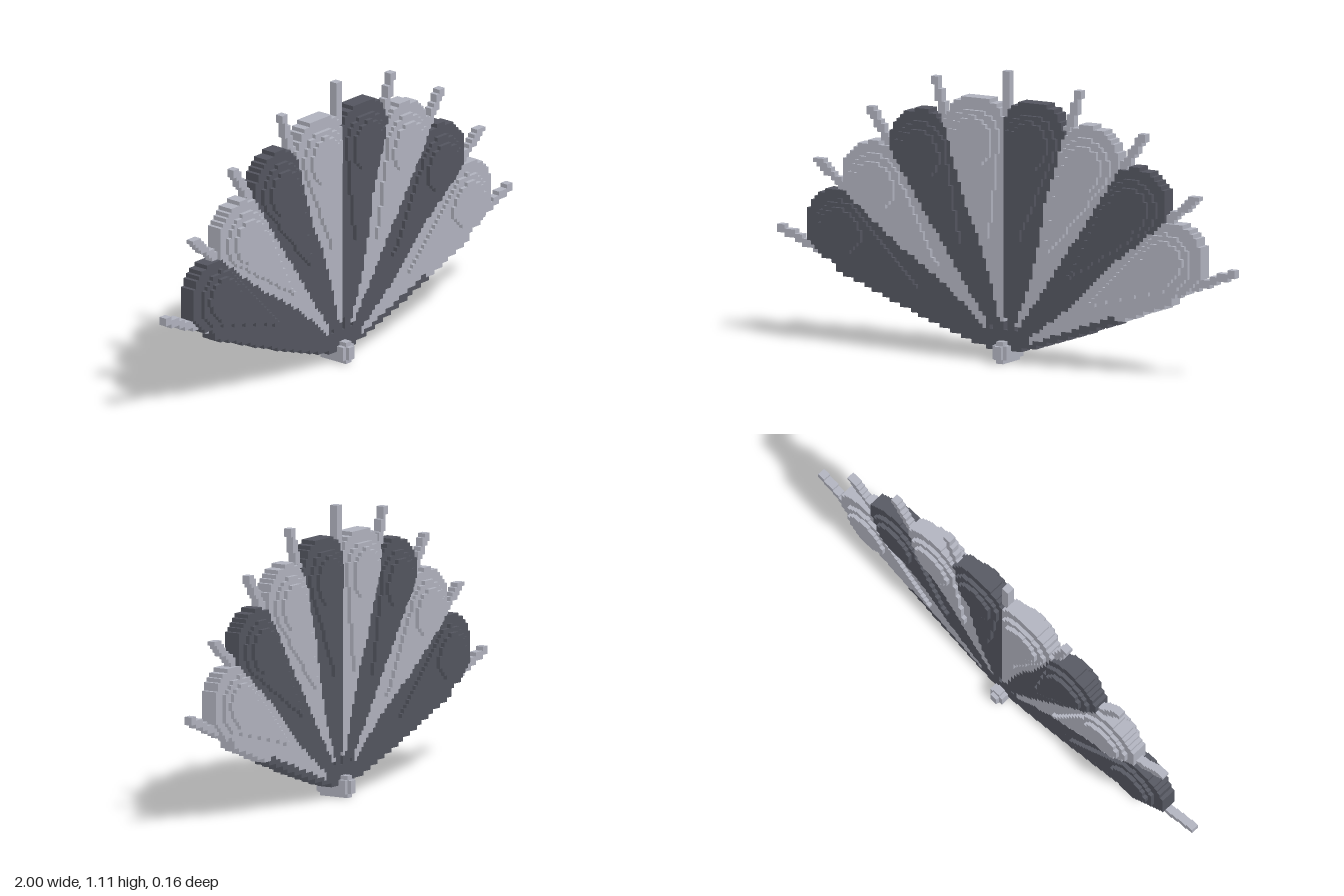
import * as THREE from 'three';
import { mergeGeometries } from 'three/addons/utils/BufferGeometryUtils.js';

const S = 2 / 128;          // block size
const HUB = 0.04;           // height of the hinge point
const STEP = 17.2;          // degrees between ribs
const DEG = Math.PI / 180;
const light = new THREE.MeshStandardMaterial({ color: 0xb0b2be });
light.name = 'pale grey';
const dark = new THREE.MeshStandardMaterial({ color: 0x53555f });
dark.name = 'slate grey';

// Position of a point along and across a ray leaning `deg` from vertical
function polar(x, y, deg) {
  const s = Math.sin(deg * DEG), c = Math.cos(deg * DEG), h = y - HUB;
  return { along: x * s + h * c, across: x * c - h * s };
}

// Teardrop: a wedge closed by a round head
function inDrop(p, start, centre, radius) {
  if (Math.hypot(p.along - centre, p.across) < radius) return true;
  const slope = radius / (centre - start);
  return p.along > start && p.along < centre && Math.abs(p.across) < (p.along - start) * slope;
}

// Which part fills a cell, and how many blocks deep it is each way
function cellAt(x, y) {
  const r = Math.hypot(x, y - HUB);
  const angle = Math.atan2(x, y - HUB) / DEG;

  // small openings around the hinge
  if (Math.abs(x - 0.008) < 0.006 && y > 0.12 && y < 0.165) return null;
  if (Math.abs(Math.abs(x) - 0.055) < 0.008 && y > 0.125 && y < 0.14) return null;

  // petals
  const i = Math.min(7, Math.max(0, Math.floor(angle / STEP + 4)));
  const mid = (i - 3.5) * STEP;
  const p = polar(x, y, mid);
  if (r > 0.03 && y > 0.05 && inDrop(p, 0, 0.84, 0.137)) {
    const egg = Math.hypot((p.along - 0.81) / 0.092, p.across / 0.08) < 1;
    const depth = egg ? 4 : inDrop(p, 0.42, 0.82, 0.108) ? 3 : 2;
    // dark petals spread over the pale ones close to the hinge
    const spread = Math.min(8.6, 1 + Math.max(0, r - 0.12) * 16);
    const pale = i % 2 === 1 && r > 0.12 && angle - mid > -spread;
    return { part: 'petal' + (i + 1), mat: pale ? light : dark, depth };
  }

  // thicker guards along the two lower edges
  for (const side of [-1, 1]) {
    const g = polar(x, y, side * 4 * STEP);
    if (g.along > 0.04 && g.along < 0.78 && Math.abs(g.across) < Math.min(0.034, 0.012 + g.along * 0.06)) {
      const mat = side < 0 || g.along < 0.52 ? dark : light;
      return { part: side < 0 ? 'rightGuard' : 'leftGuard', mat, depth: 2 };
    }
  }

  // ribs
  for (let k = -4; k <= 4; k++) {
    const q = polar(x, y, k * STEP);
    if (q.along > 0.12 && q.along < 1.068 && Math.abs(q.across) < 0.0145) {
      return { part: 'rib' + (k + 5), mat: light, depth: 1 };
    }
  }
  return null;
}

function box(w, h, d, x, y) {
  return new THREE.BoxGeometry(w, h, d).translate(x, y, 0);
}

export function createModel() {
  const model = new THREE.Group();
  model.name = 'foldingFan';
  const parts = new Map();
  const same = (a, b) => a && b && a.part === b.part && a.mat === b.mat && a.depth === b.depth;

  // Fill each row with boxes, one for each run of equal cells
  for (let row = 3; row < 72; row++) {
    const y = (row + 0.5) * S;
    let run = null, first = 0;
    for (let col = -64; col <= 64; col++) {
      const cell = col < 64 ? cellAt((col + 0.5) * S, y) : null;
      if (same(run, cell)) continue;
      if (run) {
        const key = run.part + (run.mat === light ? 'Pale' : 'Dark');
        if (!parts.has(key)) parts.set(key, { mat: run.mat, boxes: [] });
        parts.get(key).boxes.push(box((col - first) * S, S, run.depth * 2 * S, (first + col) / 2 * S, y));
      }
      run = cell;
      first = col;
    }
  }
  for (const [name, { mat, boxes }] of parts) {
    const mesh = new THREE.Mesh(mergeGeometries(boxes), mat);
    mesh.name = name;
    model.add(mesh);
  }

  // Hinge pin: stepped block running through the fan
  const pin = new THREE.Mesh(mergeGeometries([
    box(2 * S, 0.084, 8 * S, 0, 0.042),
    box(4 * S, 0.053, 8 * S, 0, 0.042),
    box(2 * S, 0.05, 10 * S, 0, 0.042),
  ]), light);
  pin.name = 'hingePin';
  model.add(pin);
  return model;
}
